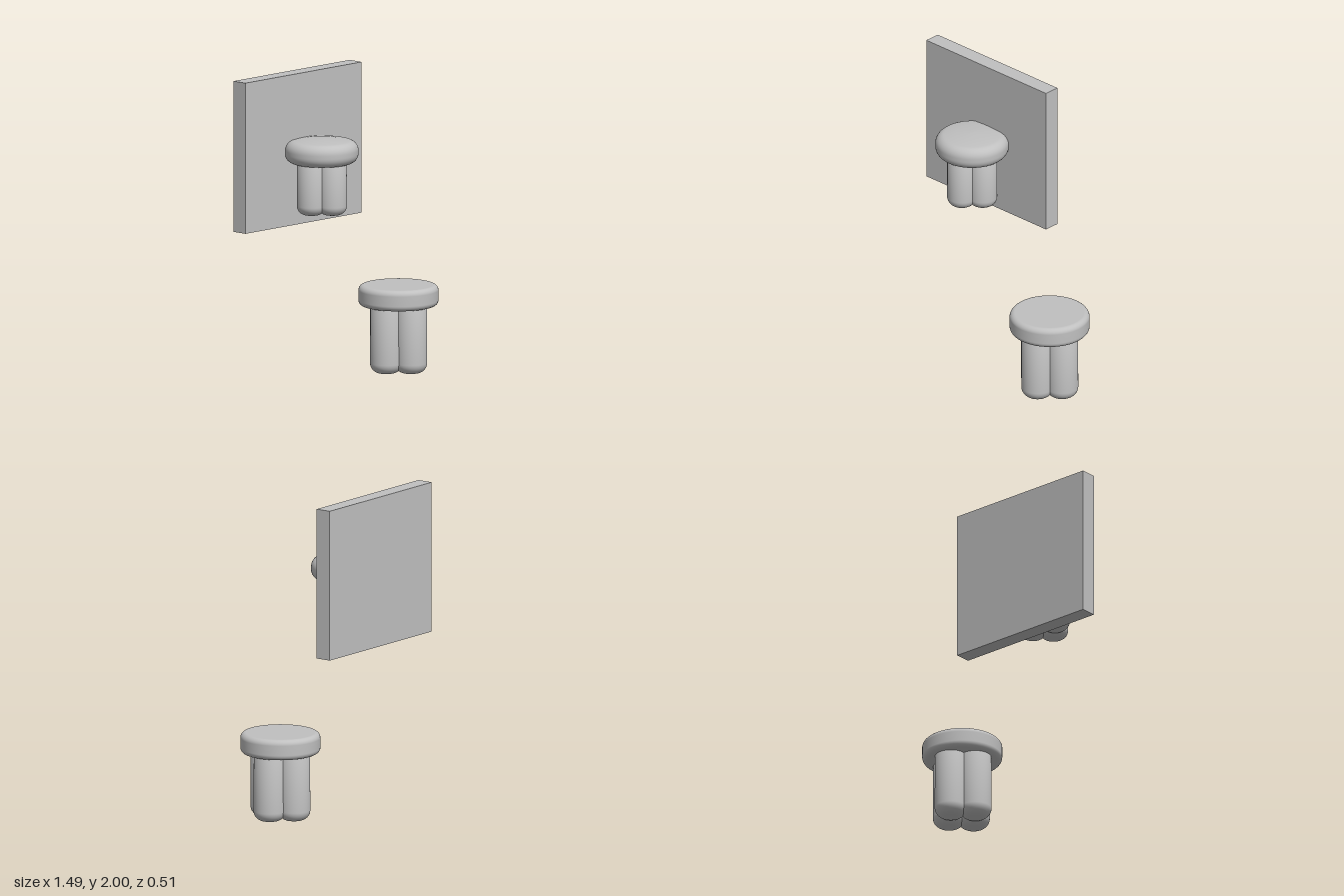
import * as THREE from 'three';

const grey = new THREE.MeshStandardMaterial({ color: 0xc0c0c0 });
grey.name = 'plain grey';

// Adds an elliptical quarter round to a lathe profile, from angle a0 to a1
function arc(points, cx, cy, rx, ry, a0, a1, steps = 8) {
  for (let i = 0; i <= steps; i++) {
    const a = a0 + (a1 - a0) * i / steps;
    points.push(new THREE.Vector2(cx + rx * Math.cos(a), cy + ry * Math.sin(a)));
  }
}

// Round cushion seat with soft rims and a slightly domed top
function seatGeometry(radius, y0, y1, round, dome) {
  const p = [new THREE.Vector2(0, y0)];
  const half = (y1 - dome - y0) / 2;
  const ry = Math.min(round, half);
  arc(p, radius - round, y0 + ry, round, ry, -Math.PI / 2, 0);
  arc(p, radius - round, y1 - dome - ry, round, ry, 0, Math.PI / 2);
  if (dome > 0) p.push(new THREE.Vector2(radius * 0.45, y1 - dome * 0.2));
  p.push(new THREE.Vector2(0, y1));
  return new THREE.LatheGeometry(p, 64);
}

// Thick leg with a rounded foot
function legGeometry(radius, y0, y1) {
  const p = [new THREE.Vector2(0, y0), new THREE.Vector2(radius * 0.2, y0 + 0.001)];
  const round = radius * 0.65;
  arc(p, radius - round, y0 + round, round, round * 0.96, -Math.PI / 2 + 0.15, 0);
  p.push(new THREE.Vector2(radius * 0.98, y1), new THREE.Vector2(0, y1));
  return new THREE.LatheGeometry(p, 40);
}

function makeStool(name, o) {
  const stool = new THREE.Group();
  stool.name = name;
  const seat = new THREE.Mesh(seatGeometry(o.radius, o.seatBottom, o.seatTop, o.round, o.dome), grey);
  seat.name = 'seat';
  stool.add(seat);

  // Four legs crowded together in a cross
  const legGeo = legGeometry(o.legRadius, o.foot, o.seatBottom + 0.03);
  ['leftLeg', 'frontLeg', 'rightLeg', 'backLeg'].forEach((legName, i) => {
    const a = i * Math.PI / 2;
    const leg = new THREE.Mesh(legGeo, grey);
    leg.name = legName;
    leg.position.set(Math.cos(a) * o.spread, 0, Math.sin(a) * o.spread);
    stool.add(leg);
  });
  return stool;
}

export function createModel() {
  const model = new THREE.Group();
  model.name = 'stoolsAndPanel';

  // Square upright panel
  const panel = new THREE.Mesh(new THREE.BoxGeometry(1.055, 0.97, 0.105), grey);
  panel.name = 'panel';
  panel.position.set(-0.217, 1.515, -0.204);
  model.add(panel);

  // Stool standing on the ground
  const lower = makeStool('lowerStool', {
    radius: 0.254, seatBottom: 0.43, seatTop: 0.563, round: 0.035, dome: 0,
    legRadius: 0.103, spread: 0.11, foot: 0.005,
  });
  lower.position.set(0.49, 0, 0);
  model.add(lower);

  // Stool set partly into the panel
  const upper = makeStool('upperStool', {
    radius: 0.233, seatBottom: 1.435, seatTop: 1.592, round: 0.062, dome: 0.012,
    legRadius: 0.093, spread: 0.093, foot: 1.11,
  });
  upper.position.set(-0.2, 0, -0.006);
  model.add(upper);

  return model;
}
